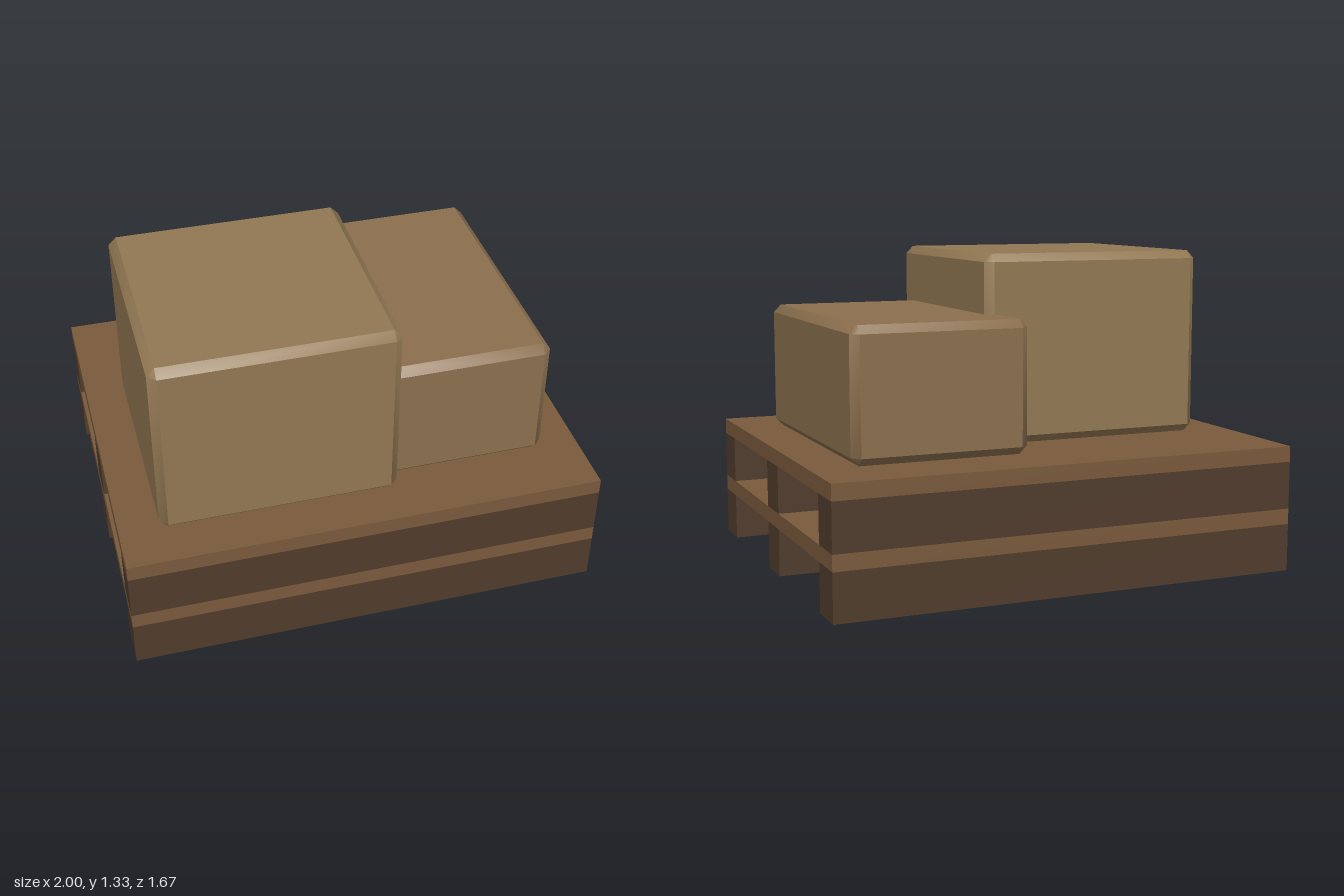
import * as THREE from 'three';
import { ConvexGeometry } from 'three/addons/geometries/ConvexGeometry.js';
import { toCreasedNormals } from 'three/addons/utils/BufferGeometryUtils.js';

const material = (color) => new THREE.MeshStandardMaterial({ color });

// Box with every edge cut at 45 degrees; cuts blend into the corner facets
function chamferedBox(w, h, d, c) {
  const points = [];
  for (const x of [-1, 1]) for (const y of [-1, 1]) for (const z of [-1, 1]) {
    for (let axis = 0; axis < 3; axis++) {
      const inset = [0, 1, 2].map((i) => (i === axis ? 0 : c));
      points.push(new THREE.Vector3(
        x * (w / 2 - inset[0]), y * (h / 2 - inset[1]), z * (d / 2 - inset[2])));
    }
  }
  return toCreasedNormals(new ConvexGeometry(points), 0.7);
}

export function createModel() {
  const model = new THREE.Group();
  model.name = 'loadedPallet';

  const add = (parent, name, geometry, mat, x, y, z) => {
    const mesh = new THREE.Mesh(geometry, mat);
    mesh.name = name;
    mesh.position.set(x, y, z);
    parent.add(mesh);
  };

  const plank = material(0x7a5a3c);
  const darkWood = material(0x503c2c);
  const width = 2, depth = 5 / 3, slab = 1 / 15, beam = 0.2;

  // Pallet: two tiers, each of three beams under a full board
  const pallet = new THREE.Group();
  pallet.name = 'pallet';
  model.add(pallet);
  const boardGeo = new THREE.BoxGeometry(width, slab, depth);
  const beamGeo = new THREE.BoxGeometry(width, beam, 1 / 6);
  ['lower', 'upper'].forEach((tier, i) => {
    const base = i * (beam + slab);
    for (const z of [-0.75, 0, 0.75]) {
      add(pallet, tier + 'Beam', beamGeo, darkWood, 0, base + beam / 2, z);
    }
    add(pallet, tier + 'Board', boardGeo, plank, 0, base + beam + slab / 2, 0);
  });

  // Cartons standing on the upper board
  const top = 2 * (beam + slab);
  add(model, 'largeCarton', chamferedBox(1, 0.8, 1, 1 / 30),
    material(0x927853), -1 / 3, top + 0.4, 1 / 6);
  add(model, 'smallCarton', chamferedBox(0.75, 0.55, 7 / 6, 1 / 30),
    material(0x8b6f4e), 0.4583, top + 0.275, 0);

  return model;
}
